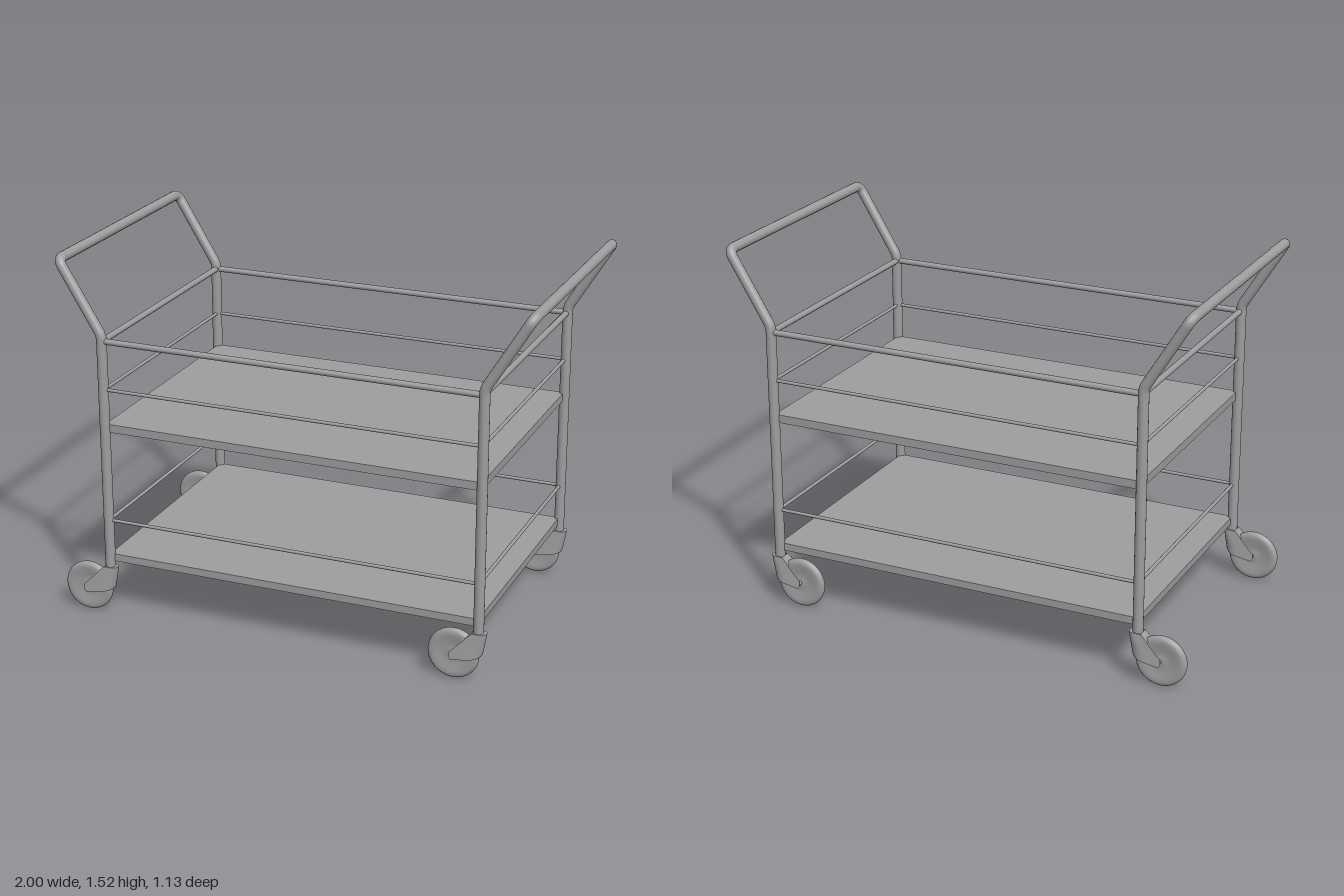
import * as THREE from 'three';

const MAT = new THREE.MeshStandardMaterial({ color: 0x9e9e9e, side: THREE.DoubleSide });
const PX = 0.797, PZ = 0.525;

function part(name, geometry, x = 0, y = 0, z = 0) {
  const m = new THREE.Mesh(geometry, MAT);
  m.name = name;
  m.position.set(x, y, z);
  return m;
}

// Polyline path whose corners are rounded by the given cut length
function roundedPath(points, cuts) {
  const path = new THREE.CurvePath();
  let from = points[0];
  for (let i = 1; i < points.length - 1; i++) {
    const p = points[i];
    const a = p.clone().add(points[i - 1].clone().sub(p).setLength(cuts[i - 1]));
    const b = p.clone().add(points[i + 1].clone().sub(p).setLength(cuts[i - 1]));
    path.add(new THREE.LineCurve3(from, a));
    path.add(new THREE.QuadraticBezierCurve3(a, p, b));
    from = b;
  }
  path.add(new THREE.LineCurve3(from, points[points.length - 1]));
  return path;
}

// Two posts and the push bar of one end, bent from a single tube
function endFrame(side) {
  const v = (x, y, z) => new THREE.Vector3(side * x, y, z);
  const path = roundedPath([
    v(PX, 0.2, PZ), v(PX, 1.206, PZ), v(0.9755, 1.499, PZ),
    v(0.9755, 1.499, -PZ), v(PX, 1.206, -PZ), v(PX, 0.2, -PZ),
  ], [0.02, 0.035, 0.035, 0.02]);
  return part(side > 0 ? 'leftEndFrame' : 'rightEndFrame', new THREE.TubeGeometry(path, 320, 0.021, 16));
}

// Horizontal rails joining the four posts
function railRing(y, r) {
  const g = new THREE.Group();
  g.name = 'railRing';
  for (const s of [-1, 1]) {
    const along = new THREE.CylinderGeometry(r, r, 2 * PX, 12, 1, true).rotateZ(Math.PI / 2);
    g.add(part('longRail', along, 0, y, s * PZ));
    const across = new THREE.CylinderGeometry(r, r, 2 * PZ, 12, 1, true).rotateX(Math.PI / 2);
    g.add(part('crossRail', across, s * 0.794, y, 0));
  }
  return g;
}

// Surface through U-shaped sections: each has a back point, a front point
// and a half width, rounded at the back and open at the front
function loftU(sections) {
  const n = 16, pos = [], idx = [];
  sections.forEach(([bx, by, fx, fy, w], j) => {
    for (let i = 0; i <= n; i++) {
      const a = (2 * i) / n - 1;
      const s = a * a;
      const z = Math.sign(a) * w * Math.sqrt(1 - (1 - Math.min(1, s / 0.4)) ** 2);
      pos.push(bx + (fx - bx) * s, by + (fy - by) * s, z);
      if (j && i) {
        const k = j * (n + 1) + i, up = k - n - 1;
        idx.push(up - 1, k - 1, up, up, k - 1, k);
      }
    }
  });
  const geo = new THREE.BufferGeometry();
  geo.setAttribute('position', new THREE.Float32BufferAttribute(pos, 3));
  geo.setIndex(idx);
  geo.computeVertexNormals();
  return geo;
}

// Rounded wheel with dished faces and a small hub
function wheelGeometry() {
  const half = [[0, 0.013], [0.018, 0.013], [0.026, 0.009], [0.05, 0.011], [0.075, 0.016],
    [0.09, 0.0165], [0.099, 0.013], [0.104, 0.007]];
  const pts = [
    ...half.map(([r, h]) => new THREE.Vector2(r, -h)),
    new THREE.Vector2(0.1055, 0),
    ...half.slice().reverse().map(([r, h]) => new THREE.Vector2(r, h)),
  ];
  return new THREE.LatheGeometry(pts, 40).rotateX(Math.PI / 2);
}

// Trailing caster, origin on the post axis at floor level
function caster() {
  const g = new THREE.Group();
  g.name = 'caster';
  g.add(part('wheel', wheelGeometry(), -0.1, 0.1055, 0));
  g.add(part('axle', new THREE.CylinderGeometry(0.01, 0.01, 0.07, 12).rotateX(Math.PI / 2), -0.095, 0.106, 0));

  // Hooded fork flaring down to the axle, with a closed crown
  const crown = [0.035, 0.21, -0.02, 0.21, 0.0245];
  g.add(part('fork', loftU([
    crown,
    [0.03, 0.18, -0.05, 0.18, 0.0285],
    [0.024, 0.145, -0.108, 0.122, 0.034],
    [0.019, 0.12, -0.109, 0.102, 0.037],
    [0.012, 0.108, -0.1, 0.09, 0.038],
  ])));
  g.add(part('forkCrown', loftU([[0.005, 0.21, 0.005, 0.21, 0], crown])));
  const web = part('forkWeb', new THREE.BoxGeometry(0.042, 0.004, 0.05), -0.034, 0.194, 0);
  web.rotation.z = Math.PI / 4;
  g.add(web);
  return g;
}

export function createModel() {
  const model = new THREE.Group();
  model.name = 'serviceCart';

  // The trailing wheels set the frame slightly off centre
  const cart = new THREE.Group();
  cart.name = 'cart';
  cart.position.x = 0.0025;
  model.add(cart);

  for (const s of [-1, 1]) cart.add(endFrame(s));

  // Shelves
  const shelf = (name, y, h) => part(name, new THREE.BoxGeometry(1.59, h, 1.05), 0, y, 0);
  cart.add(shelf('upperShelf', 0.816, 0.034), shelf('lowerShelf', 0.249, 0.032));

  // Guard rails: thick at the top, thin above each shelf
  cart.add(railRing(1.183, 0.0125), railRing(0.98, 0.007), railRing(0.415, 0.007));

  // Casters all trail toward the same end
  for (const x of [-PX, PX]) {
    for (const z of [-PZ, PZ]) {
      const c = caster();
      c.position.set(x, 0, z);
      cart.add(c);
    }
  }
  return model;
}
